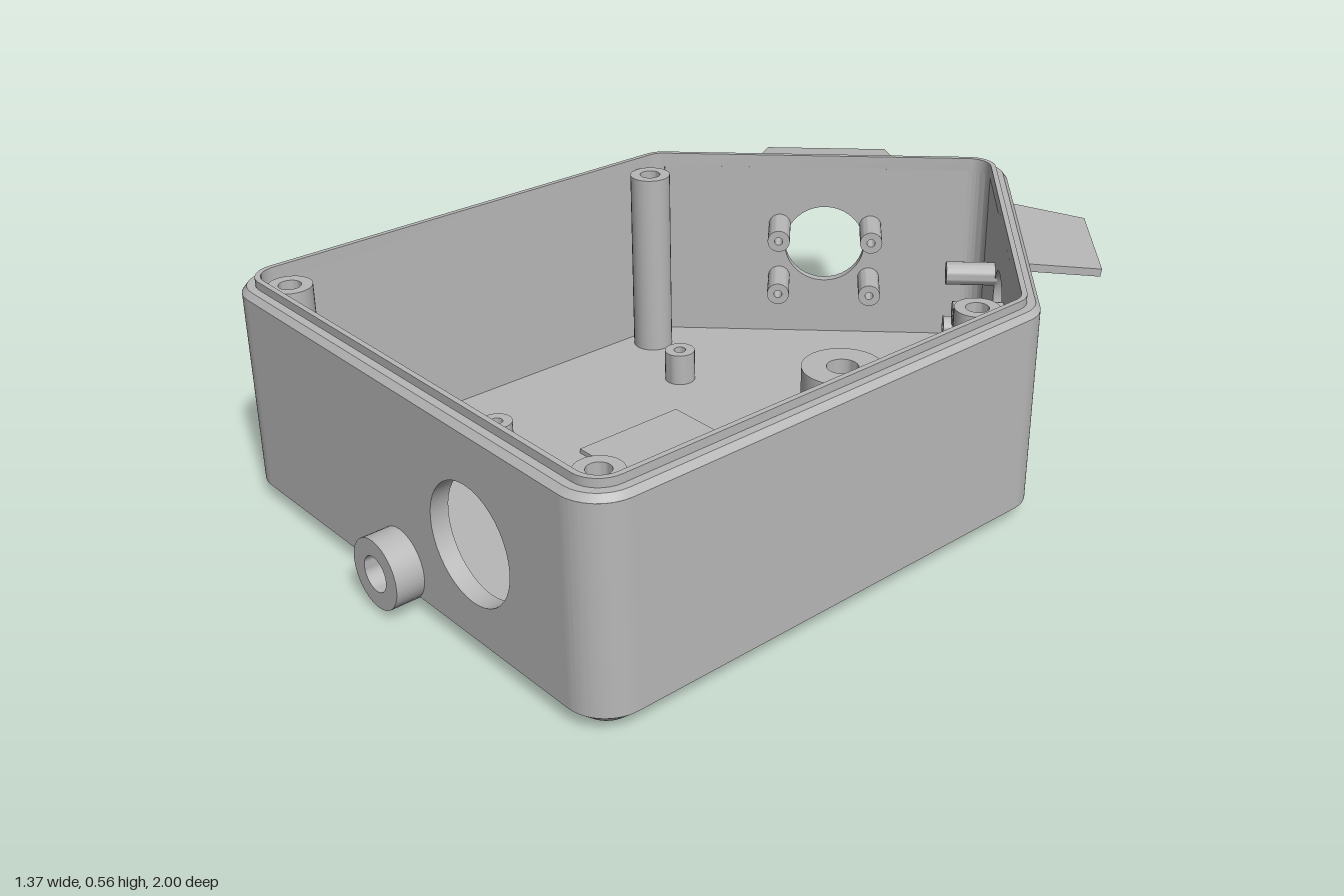
import * as THREE from 'three';
import { toCreasedNormals } from 'three/addons/utils/BufferGeometryUtils.js';

const WALL = 0.045, RADIUS = 0.1, FLOOR = 0.04, WALL_TOP = 0.53;
const HX = 0.585, SIDE_V = 0.3186, APEX_V = 0.9036, FRONT_V = -0.83;

// Corner arcs of the plan, counter-clockwise: centre x, centre v (v = -z), start and end in degrees
const CORNERS = [
  [HX, FRONT_V, -90, 0],
  [HX, SIDE_V, 0, 45],
  [0, APEX_V, 45, 135],
  [-HX, SIDE_V, 135, 180],
  [-HX, FRONT_V, 180, 270],
];

export function createModel() {
  const model = new THREE.Group();
  model.name = 'enclosure';
  const grey = new THREE.MeshStandardMaterial({ color: 0xb8b8b8 });
  grey.name = 'grey plastic';
  const rad = THREE.MathUtils.degToRad;

  function add(parent, name, geometry, x = 0, y = 0, z = 0) {
    const mesh = new THREE.Mesh(toCreasedNormals(geometry, 0.5), grey);
    mesh.name = name;
    mesh.position.set(x, y, z);
    parent.add(mesh);
    return mesh;
  }

  const circle = (x, y, r) => new THREE.Path().absarc(x, y, r, 0, Math.PI * 2, true);
  const extrude = (shape, depth) =>
    new THREE.ExtrudeGeometry(shape, { depth, bevelEnabled: false, curveSegments: 20 });
  // Shape drawn in plan, extruded upwards
  const extrudeUp = (shape, depth) => extrude(shape, depth).rotateX(-Math.PI / 2);

  function outline(inset) {
    const pts = [];
    for (const [cx, cv, a, b] of CORNERS) {
      for (let i = 0; i <= 8; i++) {
        const t = rad(a + ((b - a) * i) / 8);
        pts.push(new THREE.Vector2(
          cx + (RADIUS - inset) * Math.cos(t), cv + (RADIUS - inset) * Math.sin(t)));
      }
    }
    return pts;
  }

  // Skin through plan outlines, each given as [inset, height]
  function loft(rings) {
    const pos = [], index = [];
    let n = 0;
    for (const [inset, y] of rings) {
      const pts = outline(inset);
      n = pts.length;
      for (const p of pts) pos.push(p.x, y, -p.y);
    }
    for (let j = 0; j < rings.length - 1; j++) {
      for (let i = 0; i < n; i++) {
        const k = (i + 1) % n;
        const a = j * n + i, b = j * n + k, c = a + n, d = b + n;
        index.push(a, b, d, a, d, c);
      }
    }
    const g = new THREE.BufferGeometry();
    g.setAttribute('position', new THREE.Float32BufferAttribute(pos, 3));
    g.setIndex(index);
    return g;
  }

  // Hollow round post standing on its origin
  function tube(r, hole, h) {
    const p = [[r, 0], [r, h], [hole, h], [hole, 0]].map(([x, y]) => new THREE.Vector2(x, y));
    return new THREE.LatheGeometry(p, 28);
  }

  // Upright wall panel; outer face on local z = front
  function panel(parent, name, u0, u1, hole, depth = WALL, front = 0) {
    const s = new THREE.Shape([[u0, FLOOR], [u1, FLOOR], [u1, WALL_TOP], [u0, WALL_TOP]]
      .map(([x, y]) => new THREE.Vector2(x, y)));
    if (hole) s.holes.push(circle(...hole));
    return add(parent, name, extrude(s, depth).translate(0, 0, front - depth));
  }

  // Floor with drain hole and vent slots
  const floor = new THREE.Shape(outline(WALL));
  floor.holes.push(circle(0, 0.435, 0.043));
  for (const x of [-0.125, -0.0415, 0.0415, 0.125]) {
    const w = 0.011;
    floor.holes.push(new THREE.Path([[x - w, -0.23], [x - w, -0.01], [x + w, -0.01], [x + w, -0.23]]
      .map(([a, b]) => new THREE.Vector2(a, b))));
  }
  add(model, 'floor', extrudeUp(floor, FLOOR));
  add(model, 'bottomChamfer', loft([[WALL, 0], [0, FLOOR]]));
  add(model, 'ventCover', new THREE.BoxGeometry(0.42, 0.012, 0.315), 0, FLOOR + 0.006, 0.122);

  // Rim: chamfer, ledge and raised lip
  add(model, 'rim', loft([[0, WALL_TOP], [0.012, 0.545], [0.032, 0.545], [0.032, 0.565],
    [WALL, 0.565], [WALL, WALL_TOP]]));

  // Rounded wall corners
  for (const [cx, cv, a, b] of CORNERS) {
    const s = new THREE.Shape();
    s.absarc(cx, cv, RADIUS, rad(a), rad(b), false);
    s.absarc(cx, cv, RADIUS - WALL, rad(b), rad(a), true);
    add(model, 'wallCorner', extrudeUp(s, WALL_TOP - FLOOR), 0, FLOOR, 0);
  }

  // Front wall with round opening and cable inlet
  panel(model, 'frontWall', -HX, HX, [0.27, 0.272, 0.14]).position.z = RADIUS - FRONT_V;
  add(model, 'cableInlet', tube(0.085, 0.043, 0.08).rotateX(Math.PI / 2), 0, 0.1, 0.92);

  for (const s of [1, -1]) {
    // Straight side wall
    const half = (SIDE_V - FRONT_V) / 2;
    const side = panel(model, 'sideWall', -half, half);
    side.rotation.y = (s * Math.PI) / 2;
    side.position.set(s * (HX + RADIUS), 0, -(SIDE_V + FRONT_V) / 2);

    // Slanted back wall, local z pointing outwards
    const back = new THREE.Group();
    back.name = 'slantedWall';
    back.position.set(s * 0.3425, 0, -0.7025);
    back.rotation.y = s * rad(135);
    model.add(back);
    const [u0, u1] = s > 0 ? [-0.4425, 0.3845] : [-0.3845, 0.4425];
    panel(back, 'recessedFace', u0, u1, [0, 0.307, 0.153], 0.02);
    panel(back, 'boredWall', u0, u1, [0, 0.307, 0.11], WALL - 0.02, -0.02);

    // Mounting pegs around the opening
    for (const u of [-0.125, 0.125]) {
      for (const y of [0.207, 0.363]) {
        add(back, 'sensorPeg', tube(0.03, 0.011, 0.13).rotateX(-Math.PI / 2), u, y, -0.04);
      }
    }

    // Sloping visor over the opening
    const visor = new THREE.Shape([[-0.2, -0.015], [0.2, -0.015], [0.165, 0.181], [-0.165, 0.181]]
      .map(([x, y]) => new THREE.Vector2(x, y)));
    add(back, 'visor', extrude(visor, 0.02).rotateX(Math.PI / 2), 0, 0.531, 0).rotation.x = 0.13;

    // Lid screw posts and board standoffs
    for (const z of [-0.265, 0.825]) {
      add(model, 'screwPost', tube(0.053, 0.027, 0.5), s * 0.575, FLOOR, z);
    }
    for (const z of [-0.175, 0.425]) {
      add(model, 'standoff', tube(0.04, 0.016, 0.085), s * 0.355, FLOOR, z);
    }
  }

  // Boss around the drain hole
  add(model, 'drainBoss', tube(0.11, 0.043, 0.08), 0, FLOOR, -0.435);
  return model;
}
